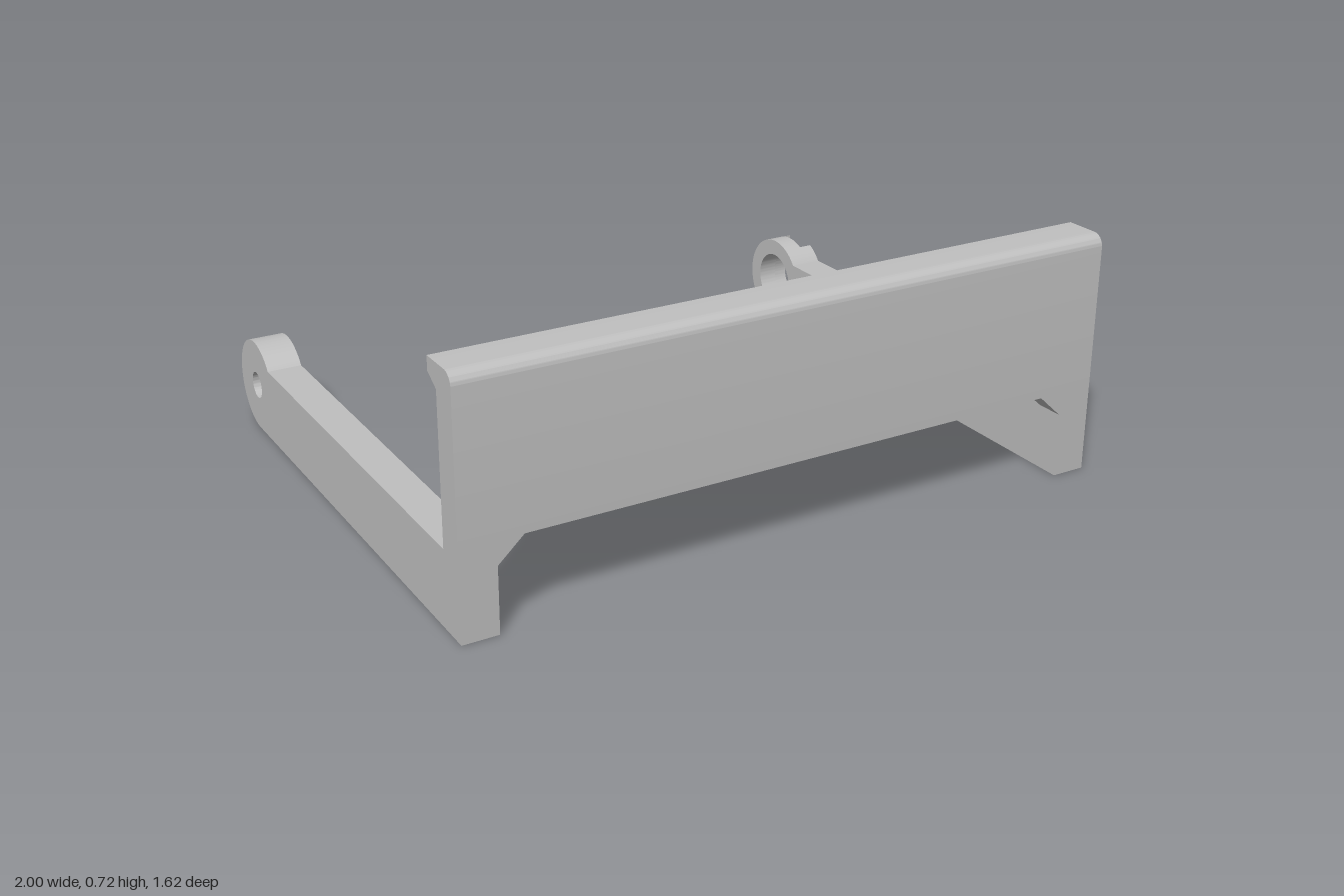
import * as THREE from 'three';
import { toCreasedNormals } from 'three/addons/utils/BufferGeometryUtils.js';

const grey = new THREE.MeshStandardMaterial({ color: 0xbfbfbf });
grey.name = 'grey';

const FRONT = 0.812, BACK_OF_PLATE = 0.726, PLATE_BOTTOM = 0.262;
const ARM_TOP = 0.227, ARM_INNER = 0.895, SLOT_FLOOR = 0.957;
const EYE = { u: 0.67, y: 0.142, r: 0.142 }; // u is -z
const BORE = 0.09, PIN_HOLE = 0.041, SLOT_HALF = 0.063;

// Extrude a side profile (u = -z, y) along x from x0 to x1
function sideExtrude(name, shape, x0, x1) {
  const geo = new THREE.ExtrudeGeometry(shape, { depth: x1 - x0, bevelEnabled: false, curveSegments: 48 });
  geo.rotateY(Math.PI / 2);
  geo.translate(x0, 0, 0);
  const mesh = new THREE.Mesh(toCreasedNormals(geo, 0.5), grey);
  mesh.name = name;
  return mesh;
}

// Arm outline with a round eye; slotted = bore opened through the top of the eye
function armShape(slotted, holeRadius) {
  const { u, y, r } = EYE;
  const s = new THREE.Shape();
  const end = Math.PI - Math.asin((ARM_TOP - y) / r);
  s.moveTo(-FRONT, 0);
  s.lineTo(u, 0);
  if (slotted) {
    const a = Math.acos(SLOT_HALF / r), b = Math.acos(SLOT_HALF / holeRadius);
    s.absarc(u, y, r, -Math.PI / 2, a, false);
    s.absarc(u, y, holeRadius, b, -Math.PI - b, true);
    s.absarc(u, y, r, Math.PI - a, end, false);
  } else {
    s.absarc(u, y, r, -Math.PI / 2, end, false);
    const hole = new THREE.Path();
    hole.absarc(u, y, holeRadius, 0, Math.PI * 2, true);
    s.holes.push(hole);
  }
  s.lineTo(-BACK_OF_PLATE, ARM_TOP);
  s.lineTo(-BACK_OF_PLATE, PLATE_BOTTOM);
  s.lineTo(-FRONT, PLATE_BOTTOM);
  s.closePath();
  return s;
}

export function createModel() {
  const group = new THREE.Group();
  group.name = 'bracket';

  // Front plate with rounded top edge and inward hooked lip
  const top = 0.722, fillet = 0.036;
  const plate = new THREE.Shape();
  plate.moveTo(-FRONT, PLATE_BOTTOM);
  plate.lineTo(-BACK_OF_PLATE, PLATE_BOTTOM);
  plate.lineTo(-BACK_OF_PLATE, 0.652);
  plate.lineTo(-0.678, 0.682);
  plate.lineTo(-0.678, top);
  plate.absarc(-FRONT + fillet, top - fillet, fillet, Math.PI / 2, Math.PI, false);
  plate.closePath();
  group.add(sideExtrude('frontPlate', plate, -1, 1));

  // Right arm with a small pin hole
  group.add(sideExtrude('rightArm', armShape(false, PIN_HOLE), -1, -ARM_INNER));

  // Left arm with a wide bore, its outer layer slotted at the top
  const leftArm = new THREE.Group();
  leftArm.name = 'leftArm';
  leftArm.add(sideExtrude('leftArmInner', armShape(false, BORE), ARM_INNER, SLOT_FLOOR));
  leftArm.add(sideExtrude('leftArmSlotted', armShape(true, BORE), SLOT_FLOOR, 1));
  group.add(leftArm);

  // Chamfer gussets between the plate and the arms
  for (const side of [-1, 1]) {
    const tri = new THREE.Shape([
      new THREE.Vector2(side * ARM_INNER, 0.193),
      new THREE.Vector2(side * ARM_INNER, PLATE_BOTTOM),
      new THREE.Vector2(side * 0.82, PLATE_BOTTOM),
    ]);
    const geo = new THREE.ExtrudeGeometry(tri, { depth: FRONT - BACK_OF_PLATE, bevelEnabled: false });
    geo.translate(0, 0, BACK_OF_PLATE);
    const gusset = new THREE.Mesh(geo, grey);
    gusset.name = side > 0 ? 'leftGusset' : 'rightGusset';
    group.add(gusset);
  }
  return group;
}
